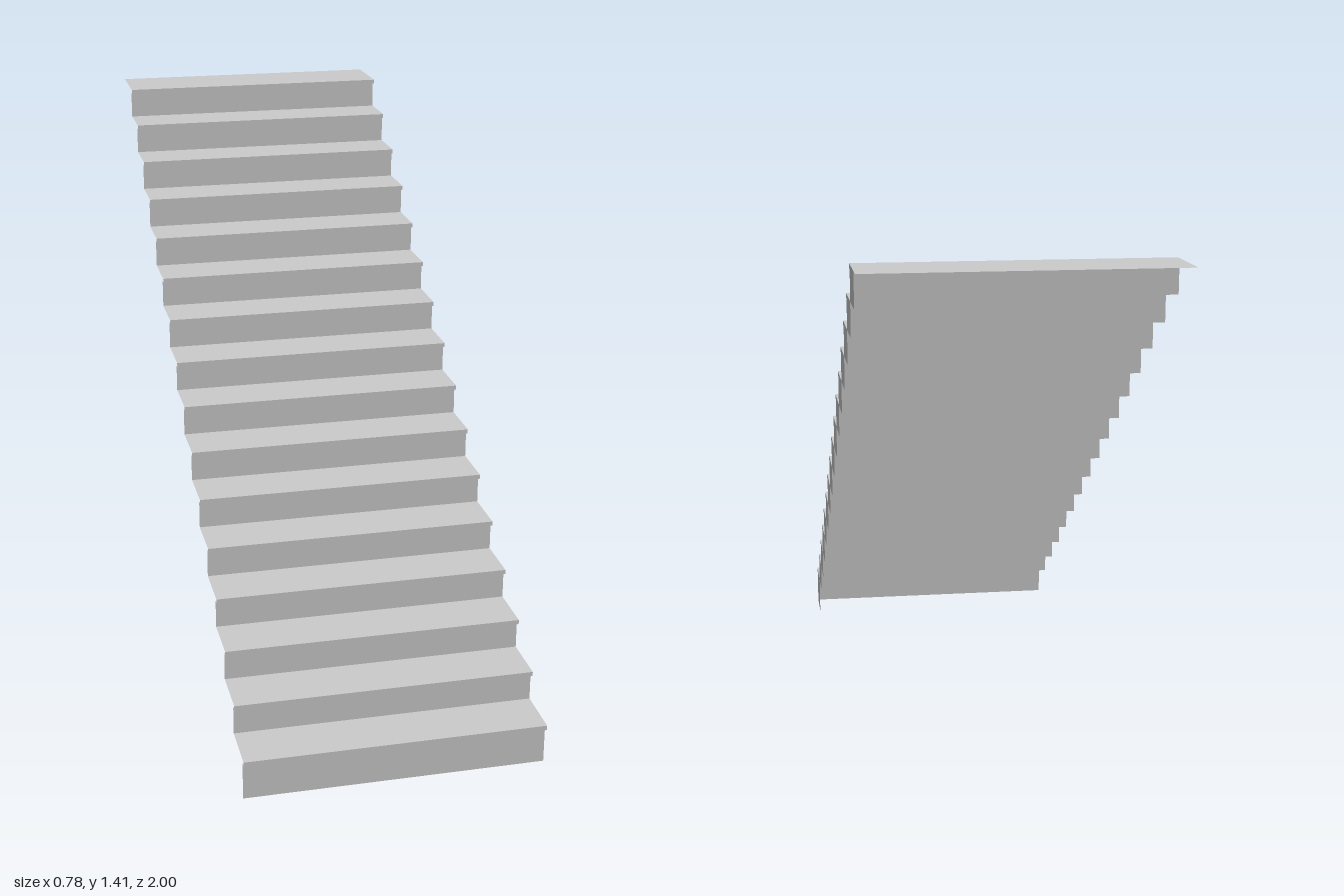
import * as THREE from 'three';

const STEPS = 16;
const HALF = 0.39;        // half the stair width
const RUN = 0.1211;       // depth from riser to riser
const RISE = 0.0867;      // height from tread to tread
const FIRST = 0.112;      // top of the lowest tread
const NOSE = 0.015;       // nosing overhang
const LIP = 0.012;        // nosing height

export function createModel() {
  const stairs = new THREE.Group();
  stairs.name = 'staircase';
  const material = new THREE.MeshStandardMaterial({ color: 0xcccccc, side: THREE.DoubleSide });

  const add = (parent, name, geometry) => {
    const mesh = new THREE.Mesh(geometry, material);
    mesh.name = name;
    parent.add(mesh);
  };
  // Thin sheets spanning the stair width
  const upright = (z, y0, y1) =>
    new THREE.PlaneGeometry(2 * HALF, y1 - y0).translate(0, (y0 + y1) / 2, z);
  const level = (y, back, front, up) =>
    new THREE.PlaneGeometry(2 * HALF, front - back)
      .rotateX(up ? -Math.PI / 2 : Math.PI / 2)
      .translate(0, y, (back + front) / 2);

  for (let i = 0; i < STEPS; i++) {
    const step = new THREE.Group();
    step.name = `step${i + 1}`;
    stairs.add(step);

    const front = 1 - i * RUN;
    const riser = front - NOSE;
    const back = riser - RUN;
    const top = FIRST + i * RISE;
    const bottom = i === 0 ? 0 : top - RISE;
    // The highest tread runs on past its side panel
    const treadBack = i === STEPS - 1 ? -1 : back;

    add(step, 'riser', upright(riser, bottom, top - LIP));
    add(step, 'nosingUnderside', level(top - LIP, riser, front, false));
    add(step, 'nosingFront', upright(front, top - LIP, top));
    add(step, 'tread', level(top, treadBack, front, true));

    // Side panel on the open side only; back, underside and wall side stay open
    const outline = new THREE.Shape([
      [back, bottom], [back, top], [front, top],
      [front, top - LIP], [riser, top - LIP], [riser, bottom],
    ].map(([z, y]) => new THREE.Vector2(-z, y)));
    add(step, 'sidePanel', new THREE.ShapeGeometry(outline).rotateY(Math.PI / 2).translate(HALF, 0, 0));
  }
  return stairs;
}
